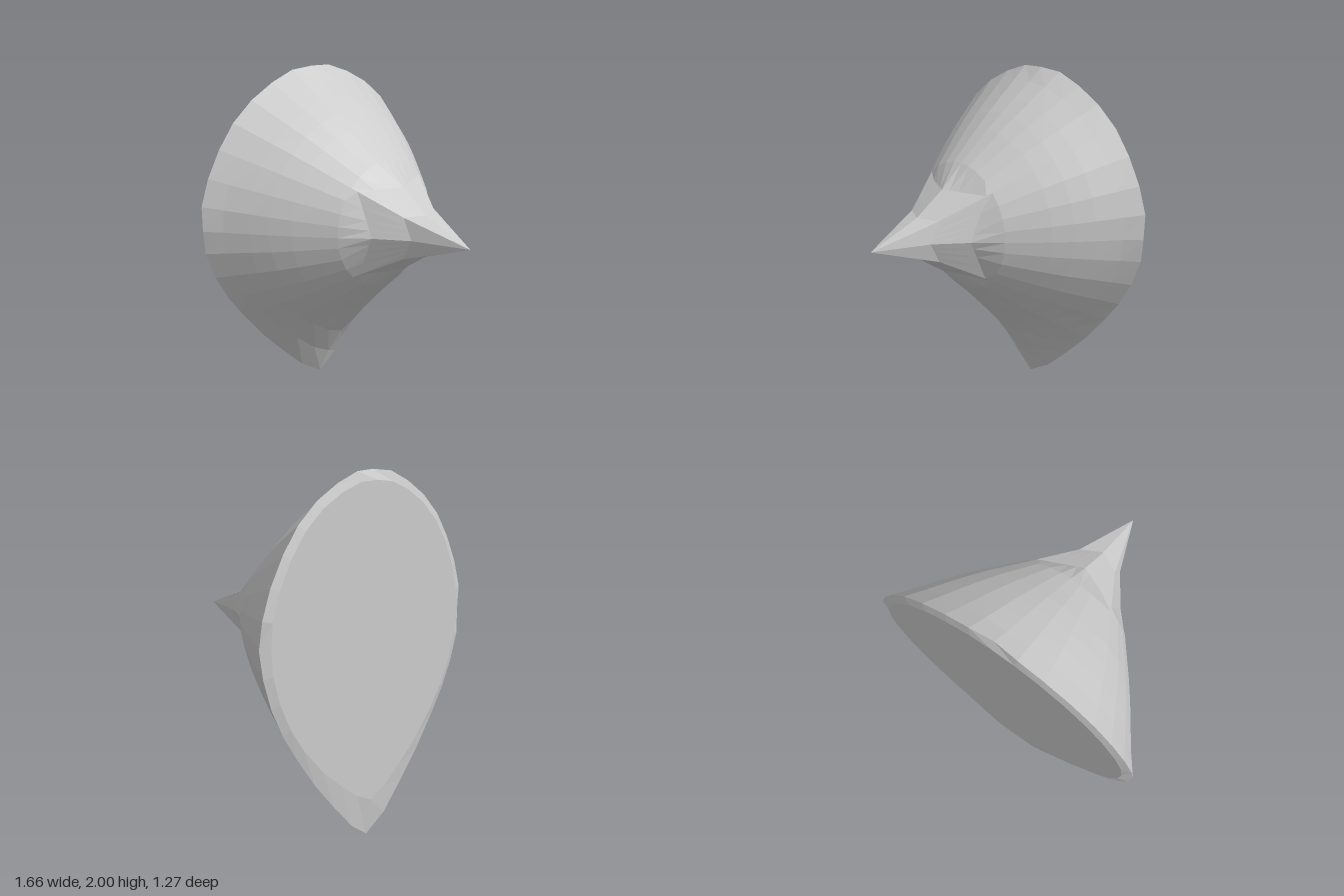
import * as THREE from 'three';

const CY = 1.17; // height of the tip
// Right half of the teardrop rim, bottom to top, relative to the tip axis
const HALF = [
  [0, -1.17], [0.14, -1.08], [0.29, -0.93], [0.44, -0.77], [0.585, -0.585], [0.68, -0.45],
  [0.76, -0.3], [0.815, -0.14], [0.83, 0], [0.82, 0.14], [0.765, 0.29], [0.68, 0.44],
  [0.575, 0.575], [0.44, 0.685], [0.29, 0.765], [0.14, 0.82], [0, 0.83],
];
// Rings between tip and rim: depth, round radius, share of the teardrop's excess
const RINGS = [
  [0, 0.37, 0.03], [-0.1, 0.45, 0.08], [-0.2, 0.53, 0.16], [-0.3, 0.605, 0.27],
  [-0.4, 0.675, 0.41], [-0.52, 0.757, 0.7],
];

export function createModel() {
  const outline = [...HALF, ...HALF.slice(1, -1).reverse().map(([x, y]) => [-x, y])];
  const n = outline.length;
  const rim = outline.map(([x, y]) => {
    const R = Math.hypot(x, y);
    const c = x / R, s = y / R, a = Math.abs(c), b = Math.abs(s);
    return { R, c, s, big: Math.max(a, b), t: Math.min(a, b) / Math.max(a, b) };
  });
  const pos = [];
  const index = [];
  const addRing = (radius, depth) => rim.forEach((p, i) => {
    const r = radius(p);
    pos.push(p.c * r, CY + p.s * r, depth(p, i));
  });

  // Square, drooping rings around the pointed tip
  pos.push(0, CY, 0.635);
  addRing((p) => 0.12 / p.big, (p) => 0.32 - 0.06 * p.t);
  addRing((p) => 0.245 / p.big, (p) => 0.14 - 0.11 * p.t);
  // Flaring body that turns from round to teardrop
  for (const [z, r, w] of RINGS) addRing((p) => r + (p.R - 0.83) * w, () => z);
  // Rim and bevelled back plate
  addRing((p) => p.R, (p, i) => (i % 8 === 0 ? -0.61 : -0.622));
  addRing((p) => 0.775 + (p.R - 0.83) * 0.55, () => -0.638);
  pos.push(0, CY, -0.638);

  const count = RINGS.length + 4;
  const last = 1 + count * n;
  for (let i = 0; i < n; i++) {
    const j = (i + 1) % n;
    index.push(0, 1 + i, 1 + j);
    for (let k = 0; k < count - 1; k++) {
      const a = 1 + k * n, b = a + n;
      index.push(a + i, b + i, b + j, a + i, b + j, a + j);
    }
    const e = last - n;
    index.push(last, e + j, e + i);
  }

  const geometry = new THREE.BufferGeometry();
  geometry.setAttribute('position', new THREE.Float32BufferAttribute(pos, 3));
  geometry.setIndex(index);
  const flat = geometry.toNonIndexed();
  flat.computeVertexNormals();

  const mesh = new THREE.Mesh(flat, new THREE.MeshStandardMaterial({ color: 0xcccccc, flatShading: true }));
  mesh.name = 'teardropSpike';
  const group = new THREE.Group();
  group.name = 'spike';
  group.add(mesh);
  return group;
}
